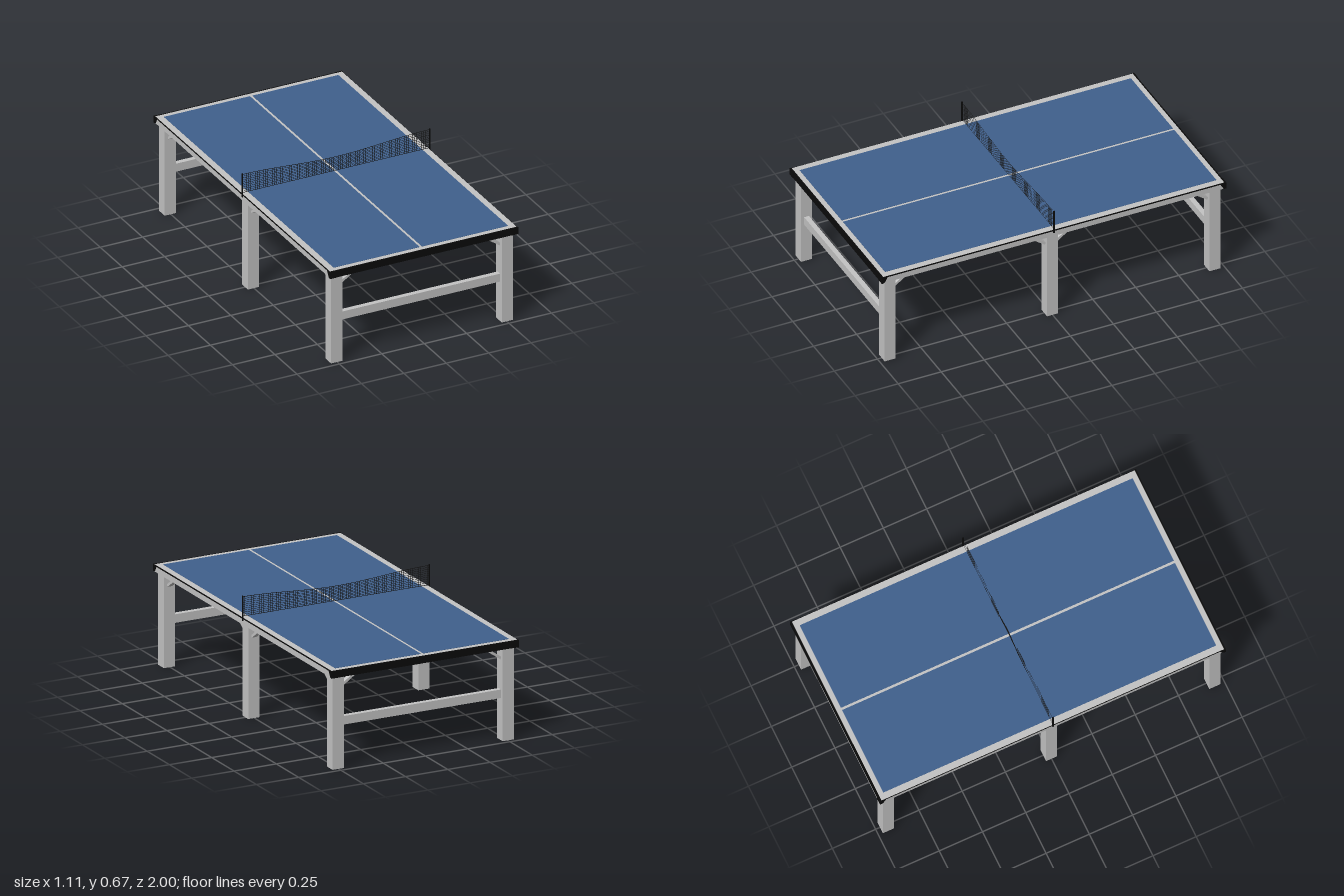
import * as THREE from 'three';

const flat = (name, color, side = THREE.FrontSide) => {
  const m = new THREE.MeshStandardMaterial({ color, side });
  m.name = name;
  return m;
};

export function createModel() {
  const grey = flat('lightGrey', 0xc4c4c4);
  const blue = flat('tableBlue', 0x40608c);
  const black = flat('black', 0x0a0a0a);
  const netBlack = flat('netBlack', 0x141414, THREE.DoubleSide);

  const model = new THREE.Group();
  model.name = 'tableTennisTable';

  // Box given by its minimum and maximum on each axis
  const box = (name, mat, x0, x1, y0, y1, z0, z1) => {
    const mesh = new THREE.Mesh(new THREE.BoxGeometry(x1 - x0, y1 - y0, z1 - z0), mat);
    mesh.position.set((x0 + x1) / 2, (y0 + y1) / 2, (z0 + z1) / 2);
    mesh.name = name;
    model.add(mesh);
    return mesh;
  };

  // Slanted brace starting at a leg face and rising outward along dir
  const brace = (x, z, dx, dz) => {
    const run = 0.088, rise = 0.062;
    const mesh = new THREE.Mesh(new THREE.BoxGeometry(Math.hypot(run, rise), 0.014, 0.028), grey);
    mesh.rotation.order = 'YXZ';
    mesh.rotation.y = Math.atan2(-dz, dx);
    mesh.rotation.z = Math.atan2(rise, run);
    mesh.position.set(x + dx * run / 2, 0.484, z + dz * run / 2);
    mesh.name = 'cornerBrace';
    model.add(mesh);
  };

  // Table top: grey border board with two thin blue fields
  box('topBoard', grey, -0.55, 0.55, 0.53, 0.553, -0.99, 0.99);
  for (const s of [-1, 1]) {
    const a = s * 0.007, b = s * 0.514;
    box('playingField', blue, Math.min(a, b), Math.max(a, b), 0.552, 0.5545, -0.962, 0.962);
  }

  // Black corner guard, wedge-shaped when seen from the side
  const wedge = new THREE.Shape([
    new THREE.Vector2(1, 0.553), new THREE.Vector2(0.966, 0.548),
    new THREE.Vector2(0.985, 0.516), new THREE.Vector2(1, 0.513)].reverse());
  const wedgeGeo = new THREE.ExtrudeGeometry(wedge, { depth: 0.04, bevelEnabled: false });

  for (const s of [-1, 1]) {
    // Long side rails with a narrow dark edge strip
    box('sideRail', grey, s * 0.542 - 0.008, s * 0.542 + 0.008, 0.513, 0.545, -0.985, 0.985);
    box('sideEdgeStrip', black, s * 0.55 - 0.0015, s * 0.55 + 0.0015, 0.545, 0.5525, -0.99, 0.99);
    // End rails and their black fascia
    box('endRail', grey, -0.55, 0.55, 0.513, 0.545, s * 0.981 - 0.008, s * 0.981 + 0.008);
    box('endFascia', black, -0.55, 0.55, 0.513, 0.5525, s * 0.993 - 0.005, s * 0.993 + 0.005);
    // Stretcher between the end legs
    box('stretcher', grey, -0.472, 0.472, 0.233, 0.28, s * 0.943 - 0.014, s * 0.943 + 0.014);

    for (const e of [-1, 1]) {
      const guard = new THREE.Mesh(wedgeGeo, black);
      guard.rotation.y = e > 0 ? -Math.PI / 2 : Math.PI / 2;
      guard.position.x = s * 0.535 + e * 0.02;
      guard.name = 'cornerGuard';
      model.add(guard);
    }

    // Three legs per side, braced along the rails
    for (const z of [-0.943, 0, 0.943]) {
      box('leg', grey, s * 0.503 - 0.033, s * 0.503 + 0.033, 0, 0.53, z - 0.032, z + 0.032);
      for (const d of [-1, 1]) {
        if (z * d <= 0) brace(s * 0.503, z + d * 0.032, 0, d);
      }
      brace(s * 0.47, z, -s, 0);
    }

    // Net post
    box('netPost', black, s * 0.552 - 0.003, s * 0.552 + 0.003, 0.535, 0.673, -0.004, 0.004);
  }

  // Net: flat cords whose top edge sags towards the middle
  const half = 0.552, bottom = 0.561, cols = 88, rows = 10;
  const topAt = (x) => 0.641 + 0.027 * (0.5 - 0.5 * Math.cos(Math.PI * x / half));
  const pos = [];
  const quad = (ax, ay, bx, by, cx, cy, dx, dy) =>
    pos.push(ax, ay, 0, bx, by, 0, cx, cy, 0, ax, ay, 0, cx, cy, 0, dx, dy, 0);
  for (let i = 0; i <= cols; i++) {
    const x = -half + 2 * half * i / cols, w = 0.001;
    quad(x - w, bottom, x + w, bottom, x + w, topAt(x), x - w, topAt(x));
  }
  for (let j = 0; j <= rows; j++) {
    const w = j === rows || j === 0 ? 0.0015 : 0.001;
    const yAt = (x) => bottom + (topAt(x) - bottom) * j / rows;
    for (let i = 0; i < 32; i++) {
      const x0 = -half + 2 * half * i / 32, x1 = x0 + 2 * half / 32;
      quad(x0, yAt(x0) - w, x1, yAt(x1) - w, x1, yAt(x1) + w, x0, yAt(x0) + w);
    }
  }
  const netGeo = new THREE.BufferGeometry();
  netGeo.setAttribute('position', new THREE.Float32BufferAttribute(pos, 3));
  netGeo.computeVertexNormals();
  const net = new THREE.Mesh(netGeo, netBlack);
  net.name = 'net';
  model.add(net);

  return model;
}
